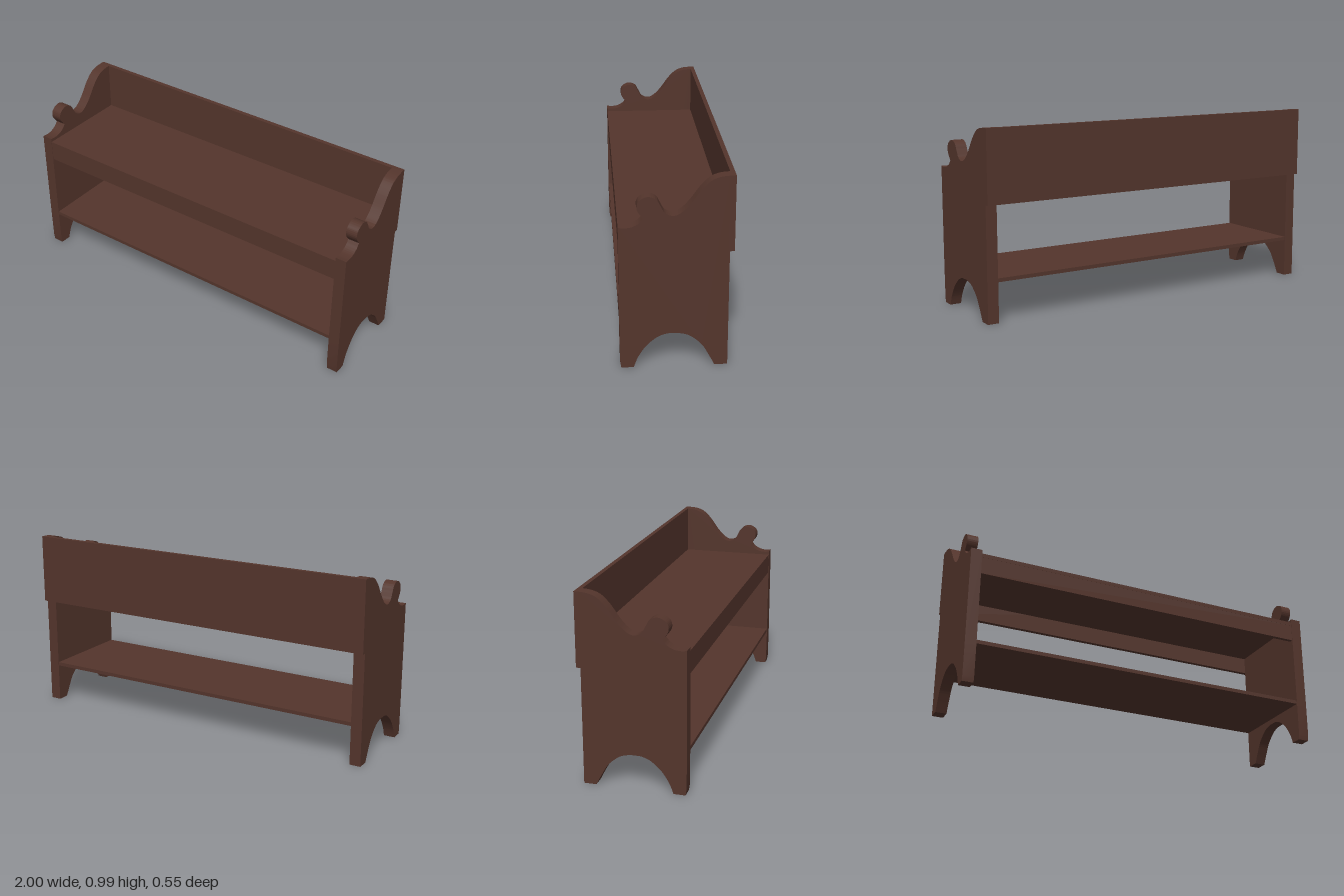
import * as THREE from 'three';
import { toCreasedNormals } from 'three/addons/utils/BufferGeometryUtils.js';

const v = (pts) => pts.map(([z, y]) => new THREE.Vector2(z, y));

// Side board outline, drawn as (z, y)
function sideShape() {
  const s = new THREE.Shape();
  s.moveTo(0.268, 0);
  s.lineTo(0.273, 0.03);
  s.lineTo(0.275, 0.2);
  s.lineTo(0.275, 0.74);
  // front lip up to the notch
  s.splineThru(v([[0.245, 0.737], [0.21, 0.742], [0.178, 0.759], [0.157, 0.783]]));
  // round knob, dip and sweep up to the back
  s.splineThru(v([[0.181, 0.815], [0.188, 0.843], [0.175, 0.872], [0.136, 0.89], [0.096, 0.876],
    [0.076, 0.843], [0.055, 0.808], [0.018, 0.793], [-0.02, 0.807], [-0.063, 0.849],
    [-0.115, 0.919], [-0.16, 0.962], [-0.205, 0.98], [-0.252, 0.985]]));
  s.lineTo(-0.252, 0);
  s.lineTo(-0.188, 0);
  // foot arch
  s.splineThru(v([[-0.158, 0.058], [-0.123, 0.115], [-0.068, 0.162], [-0.02, 0.178], [0.016, 0.18],
    [0.05, 0.178], [0.094, 0.16], [0.146, 0.115], [0.186, 0.055], [0.207, 0]]));
  s.closePath();
  return s;
}

export function createModel() {
  const group = new THREE.Group();
  const wood = new THREE.MeshStandardMaterial({ color: 0x54352c });
  wood.name = 'darkWood';

  const add = (name, geometry, x, y, z) => {
    const mesh = new THREE.Mesh(geometry, wood);
    mesh.name = name;
    mesh.position.set(x, y, z);
    group.add(mesh);
  };
  // Board given by its y and z ranges
  const board = (name, width, y0, y1, z0, z1) =>
    add(name, new THREE.BoxGeometry(width, y1 - y0, z1 - z0), 0, (y0 + y1) / 2, (z0 + z1) / 2);

  // Scrolled side boards
  const side = toCreasedNormals(new THREE.ExtrudeGeometry(sideShape(), {
    depth: 0.06, bevelEnabled: false, curveSegments: 48,
  }).rotateY(-Math.PI / 2), 0.6);
  add('leftSide', side, 1, 0, 0);
  add('rightSide', side, -0.94, 0, 0);

  // Boards between and behind the sides
  board('backBoard', 2, 0.605, 0.985, -0.275, -0.252);
  board('seat', 1.88, 0.7, 0.72, -0.252, 0.274);
  board('frontApron', 1.88, 0.605, 0.7, 0.252, 0.273);
  board('lowerShelf', 1.88, 0.21, 0.23, -0.25, 0.273);

  return group;
}
